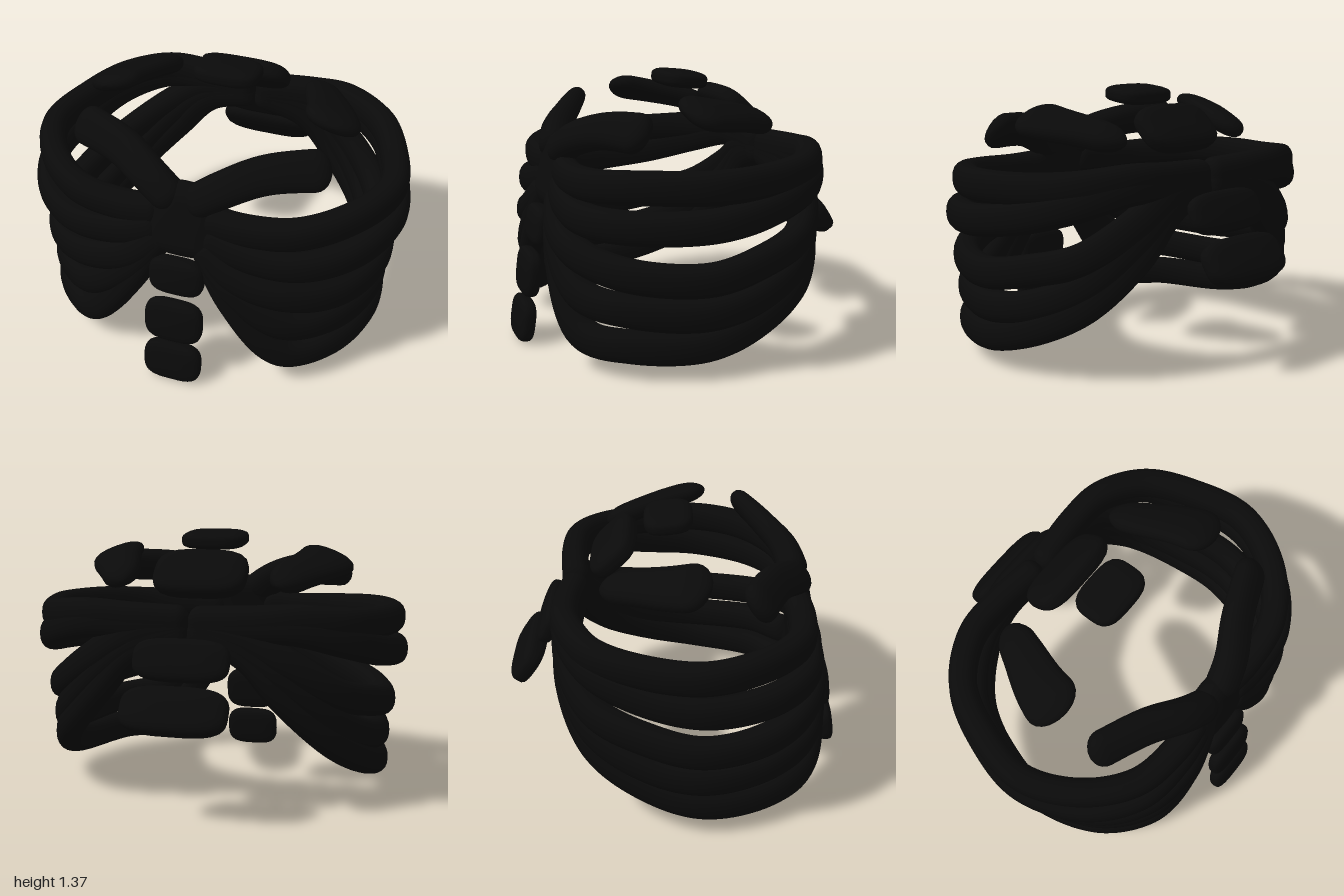
import * as THREE from 'three';

const material = new THREE.MeshStandardMaterial({ color: 0x0a0a0a });
const vec = (p) => new THREE.Vector3(...p);
const soft = (c) => Math.sign(c) * Math.abs(c) ** 0.85;

// Sweeps a soft oval along a path. `normal(point)` gives the thin direction;
// thick and wide are [start, end] half-sizes. Both ends are rounded off.
function sweep(points, normal, thick, wide, cap, steps = 60, sides = 20) {
  const curve = new THREE.CatmullRomCurve3(points.map(vec));
  const c = cap / curve.getLength();
  const rings = [];
  for (let i = 0; i <= 6; i++) {
    const a = (i / 6) * Math.PI / 2;
    rings.push([c * (1 - Math.cos(a)), Math.sin(a)]);
  }
  for (let i = 1; i < steps; i++) rings.push([c + (1 - 2 * c) * i / steps, 1]);
  for (let i = 6; i >= 0; i--) rings.push([1 - rings[i][0], rings[i][1]]);

  const pos = [], index = [];
  rings.forEach(([t, s], r) => {
    const p = curve.getPointAt(t), tan = curve.getTangentAt(t);
    const n = normal(p);
    n.addScaledVector(tan, -n.dot(tan)).normalize();
    const b = tan.clone().cross(n);
    const k = Math.max(s, 0.001);
    const tk = THREE.MathUtils.lerp(...thick, t) * k, wd = THREE.MathUtils.lerp(...wide, t) * k;
    for (let j = 0; j < sides; j++) {
      const a = (j / sides) * Math.PI * 2;
      const q = p.clone().addScaledVector(n, soft(Math.cos(a)) * tk).addScaledVector(b, soft(Math.sin(a)) * wd);
      pos.push(q.x, q.y, q.z);
      if (r < rings.length - 1) {
        const k0 = r * sides + j, k1 = r * sides + (j + 1) % sides;
        index.push(k0, k1, k0 + sides, k1, k1 + sides, k0 + sides);
      }
    }
  });
  const g = new THREE.BufferGeometry();
  g.setAttribute('position', new THREE.Float32BufferAttribute(pos, 3));
  g.setIndex(index);
  g.computeVertexNormals();
  return g;
}

// Rounded block: a sphere pushed outward toward a box
function block(name, center, half, tilt) {
  const g = new THREE.SphereGeometry(1, 32, 24), p = g.attributes.position, v = new THREE.Vector3();
  for (let i = 0; i < p.count; i++) {
    v.fromBufferAttribute(p, i);
    const len = (Math.abs(v.x) ** 3.4 + Math.abs(v.y) ** 3.4 + Math.abs(v.z) ** 3.4) ** (1 / 3.4);
    v.divideScalar(len).multiply(vec(half));
    p.setXYZ(i, v.x, v.y, v.z);
  }
  g.computeVertexNormals();
  const mesh = new THREE.Mesh(g, material);
  mesh.name = name;
  mesh.position.set(...center);
  mesh.rotation.x = tilt;
  return mesh;
}

// Plan shared by all ribs: [x, z] from sternum round the side to the spine
const plan = [[0.1, 0.68], [0.29, 0.69], [0.54, 0.65], [0.76, 0.47], [0.88, 0.13],
  [0.83, -0.16], [0.71, -0.4], [0.5, -0.53], [0.3, -0.55], [0, -0.52]];

// Each rib: girth, and its height at every plan station
const ribs = [
  { girth: 1.03, y: [0.9, 0.89, 0.9, 0.92, 0.925, 0.93, 0.95, 0.975, 0.965, 0.95] },
  { girth: 1.05, y: [0.83, 0.77, 0.74, 0.74, 0.755, 0.795, 0.865, 0.935, 0.94, 0.94] },
  { girth: 0.985, y: [0.79, 0.64, 0.56, 0.505, 0.485, 0.535, 0.61, 0.76, 0.88, 0.93] },
  { girth: 0.955, y: [0.8, 0.56, 0.37, 0.33, 0.31, 0.36, 0.48, 0.69, 0.84, 0.93] },
  { girth: 0.95, y: [0.82, 0.48, 0.18, 0.155, 0.16, 0.24, 0.38, 0.6, 0.81, 0.92] },
];

// The chest leans back toward the top, so high front stations move inward
const ribPath = ({ girth, y }) => plan.map(([x, z], i) =>
  [x * girth, y[i], z > 0.4 ? z - 0.25 * Math.max(0, y[i] - 0.65) : z]);

export function createModel() {
  const model = new THREE.Group();
  const add = (name, geometry) => {
    const mesh = new THREE.Mesh(geometry, material);
    mesh.name = name;
    model.add(mesh);
  };
  const radial = (p) => new THREE.Vector3(p.x, 0, p.z);

  for (const [side, s] of [['left', 1], ['right', -1]]) {
    const flip = (pts) => pts.map(([x, y, z]) => [x * s, y, z]);
    ribs.forEach((rib, i) =>
      add(`${side}Rib${i + 1}`, sweep(flip(ribPath(rib)), radial, [0.07, 0.07], [0.08, 0.08], 0.06, 90)));

    // Collar bone rising from the sternum, broad at its free end
    add(`${side}Clavicle`, sweep(
      flip([[0.02, 0.96, 0.63], [0.18, 1.06, 0.58], [0.36, 1.12, 0.48], [0.65, 1.14, 0.36]]),
      () => new THREE.Vector3(0.1 * s, 0.55, 0.8), [0.08, 0.055], [0.085, 0.105], 0.08));

    // Shoulder blade, widening toward the front
    add(`${side}Scapula`, sweep(
      flip([[0.395, 1.12, -0.37], [0.47, 1.165, -0.2], [0.55, 1.2, -0.02], [0.6, 1.23, 0.16]]),
      () => new THREE.Vector3(0.3 * s, 0.9, -0.2), [0.055, 0.055], [0.085, 0.16], 0.12));
  }

  // Breastbone
  add('sternum', sweep([[0, 1.07, 0.58], [0, 0.9, 0.63], [0, 0.69, 0.67]],
    () => new THREE.Vector3(0, 0.25, 1), [0.07, 0.07], [0.14, 0.22], 0.08));

  // Front plates hanging below the sternum
  model.add(
    block('upperFrontPlate', [0, 0.6, 0.73], [0.14, 0.1, 0.05], -0.12),
    block('middleFrontPlate', [0, 0.355, 0.79], [0.15, 0.12, 0.045], -0.12),
    block('lowerFrontPlate', [0, 0.11, 0.825], [0.15, 0.11, 0.045], -0.15),
  );

  // Spine segments, neck to lower back
  model.add(
    block('neckVertebra', [0, 1.32, -0.04], [0.17, 0.045, 0.125], -0.1),
    block('upperVertebra', [0, 1.165, -0.32], [0.24, 0.06, 0.14], -0.75),
    block('middleVertebra', [0, 0.785, -0.66], [0.24, 0.105, 0.05], 0.4),
    block('lowerVertebra', [0, 0.565, -0.785], [0.265, 0.12, 0.06], 0.6),
  );
  return model;
}
